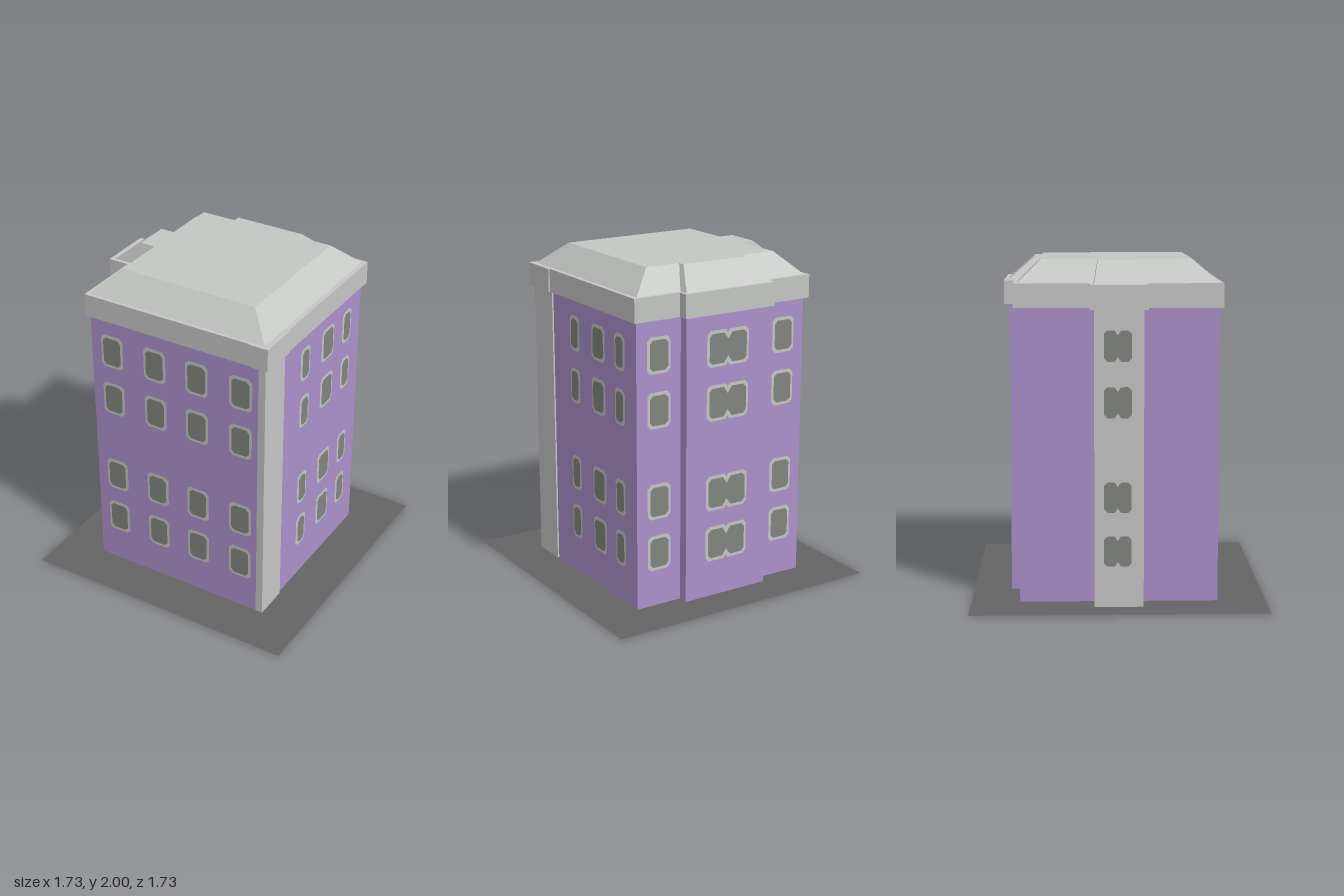
import * as THREE from 'three';

const mat = (name, color, side = THREE.FrontSide) => {
  const m = new THREE.MeshStandardMaterial({ color, side });
  m.name = name;
  return m;
};

export function createModel() {
  const model = new THREE.Group();
  model.name = 'apartmentBuilding';
  const purple = mat('purple wall', 0xab90cb);
  const stone = mat('light stone', 0xc4c6c4);
  const glass = mat('window glass', 0x82857e);
  const paving = mat('paving', 0x646464, THREE.DoubleSide);

  const add = (name, geometry, material, parent = model) => {
    const mesh = new THREE.Mesh(geometry, material);
    mesh.name = name;
    parent.add(mesh);
    return mesh;
  };
  // Box given by its limits
  const block = (name, material, x0, x1, y0, y1, z0, z1) =>
    add(name, new THREE.BoxGeometry(x1 - x0, y1 - y0, z1 - z0), material)
      .position.set((x0 + x1) / 2, (y0 + y1) / 2, (z0 + z1) / 2);
  // Hipped roof: a box whose top rectangle differs from its base; rectangles are [x0, x1, z0, z1]
  const hip = (name, base, top) => {
    const g = new THREE.BoxGeometry(1, 1, 1);
    const p = g.attributes.position;
    for (let i = 0; i < p.count; i++) {
      const up = p.getY(i) > 0, r = up ? top : base;
      p.setXYZ(i, p.getX(i) < 0 ? r[0] : r[1], up ? 2 : 1.87, p.getZ(i) < 0 ? r[2] : r[3]);
    }
    g.computeVertexNormals();
    add(name, g, stone);
  };

  // Ground plate
  const ground = add('groundPlate', new THREE.PlaneGeometry(1.73, 1.73), paving);
  ground.rotation.x = -Math.PI / 2;
  ground.position.y = 0.002;

  // Walls, bays and corner pillar
  block('mainWalls', purple, -0.583, 0.58, 0.003, 1.75, -0.58, 0.58);
  block('backBay', purple, -0.285, 0.283, 0, 1.75, -0.64, -0.575);
  block('sideBay', stone, -0.705, -0.578, 0, 1.75, -0.145, 0.14);
  block('cornerPillar', stone, 0.545, 0.59, 0.003, 1.75, 0.365, 0.583);

  // Cornice, following the bays and pillar
  block('mainCornice', stone, -0.605, 0.605, 1.73, 1.87, -0.605, 0.6);
  block('backBayCornice', stone, -0.31, 0.306, 1.73, 1.87, -0.668, -0.55);
  block('sideBayCornice', stone, -0.735, -0.55, 1.73, 1.87, -0.17, 0.163);
  block('pillarCornice', stone, 0.5, 0.614, 1.73, 1.87, 0.36, 0.605);

  // Hipped roof with a spur over each bay
  hip('mainRoof', [-0.58, 0.577, -0.583, 0.577], [-0.45, 0.43, -0.45, 0.43]);
  hip('backBayRoof', [-0.292, 0.288, -0.645, -0.4], [-0.23, 0.21, -0.495, -0.4]);
  hip('sideBayRoof', [-0.706, -0.4, -0.146, 0.14], [-0.545, -0.4, -0.12, 0.1]);

  // Window outline with clipped corners; a twin window is pinched at its middle
  const outline = (w, h, cut, pinch) => {
    const a = w / 2, b = h / 2;
    const top = [[a, b - cut], [a - cut, b]];
    if (pinch) top.push([pinch * 0.7, b], [0, b - pinch], [-pinch * 0.7, b]);
    top.push([cut - a, b], [-a, b - cut]);
    const pts = [...top, ...top.map(([x, y]) => [-x, -y])];
    return new THREE.ShapeGeometry(new THREE.Shape(pts.map(([x, y]) => new THREE.Vector2(x, y))));
  };
  const rows = [0.333, 0.65, 1.2, 1.523];
  // Columns of windows on one wall: [offset along the wall, width, twin]
  const windows = (name, angle, distance, columns) => {
    const wall = new THREE.Group();
    wall.name = name;
    wall.rotation.y = angle;
    for (const [u, w, twin] of columns) {
      const frame = outline(w, 0.216, 0.022, twin ? w * 0.07 : 0);
      const pane = outline(w - 0.032, 0.178, 0.02, twin ? w * 0.14 : 0);
      for (const y of rows) {
        add('windowFrame', frame, stone, wall).position.set(u, y, distance + 0.003);
        add('windowPane', pane, glass, wall).position.set(u, y, distance + 0.006);
      }
    }
    model.add(wall);
  };
  windows('frontWindows', 0, 0.58, [-0.44, -0.145, 0.14, 0.432].map((x) => [x, 0.15]));
  windows('rightWindows', Math.PI / 2, 0.58, [[-0.107, 0.11], [0.167, 0.15], [0.405, 0.11]]);
  windows('backWindows', Math.PI, 0.58, [[-0.432, 0.155], [0.437, 0.155]]);
  windows('backBayWindows', Math.PI, 0.64, [[0, 0.29, true]]);
  windows('sideBayWindows', -Math.PI / 2, 0.705, [[-0.01, 0.19, true]]);

  return model;
}
